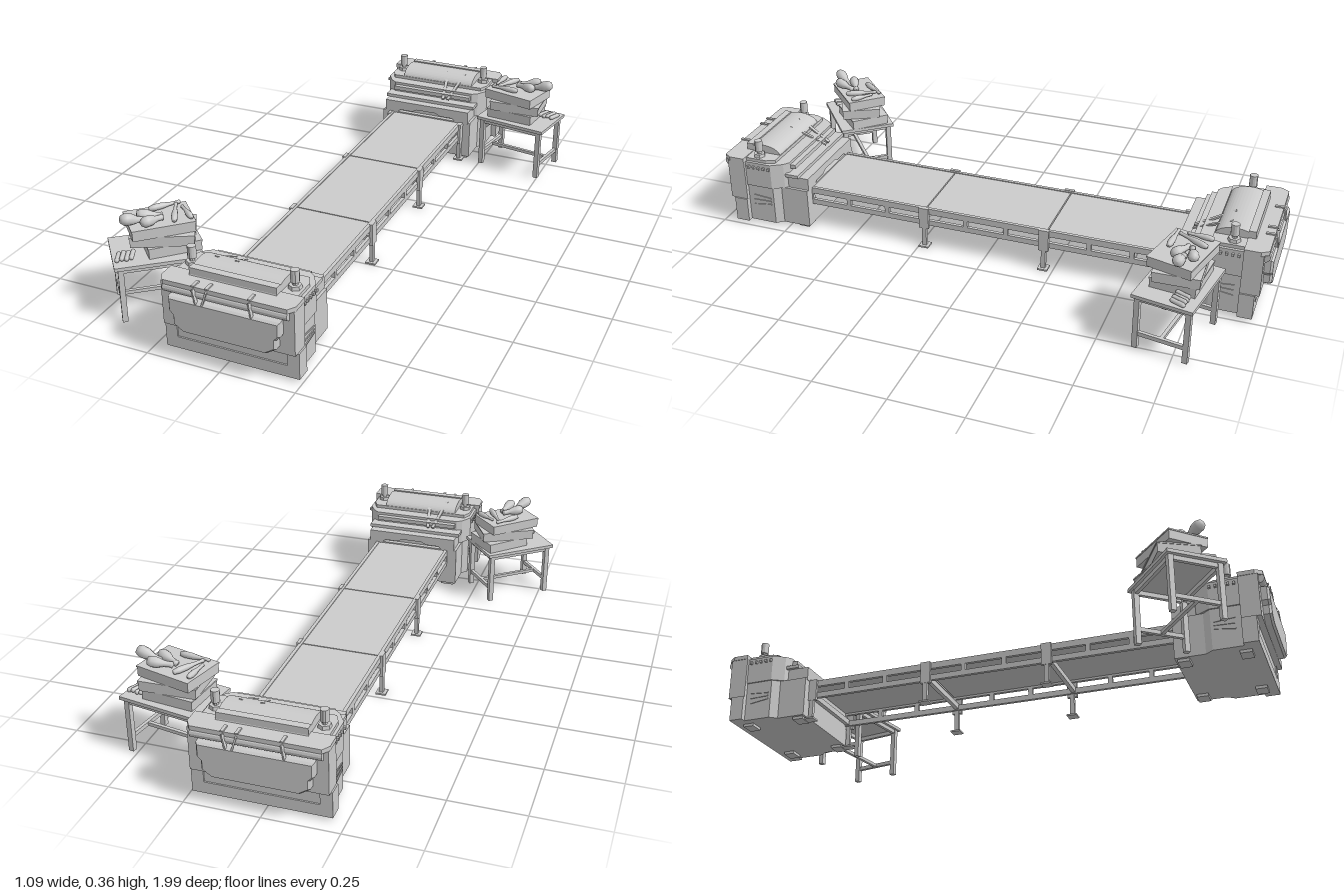
import * as THREE from 'three';

const mat = new THREE.MeshStandardMaterial({ color: 0xcccccc, flatShading: true });
const smooth = new THREE.MeshStandardMaterial({ color: 0xcccccc });
const CX = 0.016; // centre line of the conveyor and machines

function add(parent, name, geo, x = 0, y = 0, z = 0, m = mat) {
  const mesh = new THREE.Mesh(geo, m);
  mesh.name = name;
  mesh.position.set(x, y, z);
  parent.add(mesh);
  return mesh;
}
// box from its limits
function span(parent, name, x0, x1, y0, y1, z0, z1) {
  return add(parent, name, new THREE.BoxGeometry(x1 - x0, y1 - y0, z1 - z0),
    (x0 + x1) / 2, (y0 + y1) / 2, (z0 + z1) / 2);
}
const toShape = pts => new THREE.Shape(pts.map(p => new THREE.Vector2(...p)));
const mirrorX = half => [...half, ...half.map(([a, b]) => [-a, b]).reverse()];

// block with a mirrored plan outline of [x, z] points
function planBlock(parent, name, half, y0, y1) {
  const geo = new THREE.ExtrudeGeometry(toShape(mirrorX(half).map(([x, z]) => [x, -z])),
    { depth: y1 - y0, bevelEnabled: false });
  geo.rotateX(-Math.PI / 2);
  return add(parent, name, geo, 0, y0, 0);
}
// flat bar between two points
function bar(parent, name, a, b, w, t) {
  const p = new THREE.Vector3(...a), q = new THREE.Vector3(...b);
  const mesh = add(parent, name, new THREE.BoxGeometry(w, t, p.distanceTo(q)));
  mesh.position.copy(p).add(q).multiplyScalar(0.5);
  mesh.lookAt(q);
  return mesh;
}

// end machine, outer side towards +z
function machine(name) {
  const g = new THREE.Group();
  g.name = name;
  planBlock(g, 'lowerBody', [[0.185, 0.672], [0.185, 0.775], [0.205, 0.8], [0.205, 0.94]], 0.01, 0.155);
  planBlock(g, 'upperBody', [[0.165, 0.745], [0.185, 0.76], [0.21, 0.8], [0.21, 0.95]], 0.155, 0.25);
  planBlock(g, 'topDeck', [[0.185, 0.79], [0.2, 0.82], [0.2, 0.94]], 0.25, 0.262);
  // stepped hood over the belt entry
  span(g, 'hoodStep', -0.175, 0.175, 0.155, 0.2, 0.69, 0.75);
  span(g, 'hoodLedge', -0.185, 0.185, 0.2, 0.212, 0.705, 0.755);
  span(g, 'hoodBar', -0.16, 0.16, 0.225, 0.24, 0.725, 0.75);
  const skirt = toShape([[-0.175, 0.2], [-0.175, 0.15], [-0.13, 0.15], [-0.11, 0.165], [-0.06, 0.165],
    [-0.04, 0.175], [0.04, 0.175], [0.06, 0.165], [0.11, 0.165], [0.13, 0.15], [0.175, 0.15], [0.175, 0.2]]);
  add(g, 'entrySkirt', new THREE.ExtrudeGeometry(skirt, { depth: 0.02, bevelEnabled: false }), 0, 0, 0.67);
  // outer face: plinth, recess, bulging panel
  span(g, 'plinthFoot', -0.225, 0.225, 0.01, 0.05, 0.92, 0.95);
  span(g, 'plinthPanel', -0.188, 0.188, 0.05, 0.1, 0.92, 0.945);
  span(g, 'faceFrame', -0.21, 0.21, 0.1, 0.225, 0.92, 0.965);
  const face = toShape(mirrorX([[0.135, 0.108], [0.165, 0.128], [0.165, 0.158], [0.178, 0.172], [0.178, 0.212]]));
  add(g, 'facePanel', new THREE.ExtrudeGeometry(face,
    { depth: 0.025, bevelThickness: 0.008, bevelSize: 0.006, bevelSegments: 1 }), 0, 0, 0.96);
  planBlock(g, 'topLip', [[0.222, 0.9], [0.222, 0.955], [0.205, 0.98]], 0.25, 0.265);
  const roll = add(g, 'lipRoll', new THREE.CylinderGeometry(0.017, 0.017, 0.41, 14), 0, 0.239, 0.967);
  roll.rotation.z = Math.PI / 2;
  // half drum on the deck
  const drum = new THREE.CylinderGeometry(0.068, 0.068, 0.29, 20, 1, false, 0, Math.PI);
  drum.rotateZ(Math.PI / 2).scale(1, 0.5, 1);
  add(g, 'drum', drum, 0, 0.258, 0.86, new THREE.MeshStandardMaterial({ color: 0xcccccc, flatShading: true, side: THREE.DoubleSide }));
  span(g, 'drumBack', -0.145, 0.145, 0.26, 0.29, 0.9, 0.925);
  for (const s of [-1, 1]) {
    span(g, 'cornerPost', s * 0.205 - 0.02, s * 0.205 + 0.02, 0.01, 0.1, 0.9, 0.95);
    span(g, 'sidePanel', s * 0.205 - 0.015, s * 0.205 + 0.015, 0.1, 0.25, 0.9, 0.965);
    add(g, 'stackBase', new THREE.CylinderGeometry(0.02, 0.022, 0.012, 6), s * 0.172, 0.268, 0.86);
    add(g, 'stackPost', new THREE.CylinderGeometry(0.009, 0.009, 0.03, 10), s * 0.172, 0.28, 0.86);
    add(g, 'stackCap', new THREE.CylinderGeometry(0.014, 0.014, 0.04, 12), s * 0.172, 0.304, 0.86);
    for (let i = 0; i < 5; i++) // rivets and slanted vents on the sides
      span(g, 'rivet', s * 0.21 - 0.008, s * 0.21 + 0.008, 0.228, 0.238, 0.802 + i * 0.02, 0.81 + i * 0.02);
    for (let i = 0; i < 3; i++)
      bar(g, 'vent', [s * 0.204, 0.075 + i * 0.02, 0.88], [s * 0.204, 0.085 + i * 0.012, 0.81], 0.008, 0.005);
    for (const z of [0.7, 0.9])
      span(g, 'foot', s * 0.15 - 0.025, s * 0.15 + 0.025, 0, 0.012, z - 0.02, z + 0.02);
  }
  // straps hanging over the lip and the inner slope
  for (const [x0, x1] of [[-0.1, -0.088], [-0.055, -0.07], [0.085, 0.095]]) {
    bar(g, 'strap', [x0, 0.258, 0.984], [x1, 0.21, 0.987], 0.01, 0.006);
    bar(g, 'strapTop', [x0, 0.268, 0.984], [x0, 0.268, 0.95], 0.01, 0.005);
  }
  bar(g, 'innerStrap', [-0.1, 0.29, 0.84], [-0.075, 0.225, 0.71], 0.012, 0.006);
  bar(g, 'innerStrap', [-0.03, 0.29, 0.84], [-0.055, 0.225, 0.71], 0.012, 0.006);
  g.position.x = CX;
  return g;
}

function conveyor() {
  const g = new THREE.Group();
  g.name = 'conveyor';
  const end = 0.675, pitch = 0.15;
  for (let i = 0; i < 3; i++) {
    const z0 = -end + i * 0.45;
    span(g, 'beltSection', -0.14, 0.14, 0.138, 0.15, z0 + 0.002, z0 + 0.448);
    span(g, 'crossBeam', -0.14, 0.14, 0.09, 0.11, z0 + 0.005, z0 + 0.02);
  }
  for (const s of [-1, 1]) {
    const x0 = s * 0.142 - 0.006, x1 = s * 0.142 + 0.006;
    span(g, 'upperRail', x0, x1, 0.13, 0.153, -end, end);
    span(g, 'lowerRail', x0, x1, 0.086, 0.106, -end, end);
    for (let i = 0; i <= 9; i++) {
      const z = -end + i * pitch;
      span(g, 'railPost', x0, x1, 0.1, 0.135, z - 0.008, z + 0.008);
    }
    for (const z of [-0.66, -0.215, 0.23]) {
      span(g, 'legBracket', s * 0.15 - 0.006, s * 0.15 + 0.006, 0.075, 0.155, z - 0.018, z + 0.018);
      span(g, 'leg', s * 0.148 - 0.007, s * 0.148 + 0.007, 0.005, 0.09, z - 0.008, z + 0.008);
      span(g, 'footPlate', s * 0.148 - 0.018, s * 0.148 + 0.018, 0, 0.006, z - 0.018, z + 0.018);
    }
  }
  g.position.x = CX;
  return g;
}

// lumpy tapered piece, lying along its local x
function piece(parent, name, len, r, x, y, z, yaw, tilt = 0) {
  const profile = [[0, 0], [0.7, 0.03], [1, 0.18], [0.95, 0.4], [0.55, 0.65], [0.5, 0.88], [0.62, 0.94], [0, 1]];
  const geo = new THREE.LatheGeometry(profile.map(([a, b]) => new THREE.Vector2(a * r, (b - 0.5) * len)), 10);
  geo.rotateZ(-Math.PI / 2);
  const m = add(parent, name, geo, x, y, z, smooth);
  m.rotation.set(0, yaw, tilt);
}

// table with its crates: [dx, dz, turn, width, depth] from bottom to top
function table(name, x, z, turn, crates) {
  const g = new THREE.Group();
  g.name = name;
  span(g, 'tableTop', -0.14, 0.14, 0.19, 0.202, -0.102, 0.102);
  for (const sx of [-1, 1]) {
    for (const sz of [-1, 1])
      span(g, 'tableLeg', sx * 0.12 - 0.009, sx * 0.12 + 0.009, 0, 0.19, sz * 0.085 - 0.009, sz * 0.085 + 0.009);
    span(g, 'endStretcher', sx * 0.12 - 0.006, sx * 0.12 + 0.006, 0.046, 0.06, -0.085, 0.085);
    span(g, 'endApron', sx * 0.12 - 0.006, sx * 0.12 + 0.006, 0.175, 0.19, -0.085, 0.085);
    span(g, 'sideApron', -0.12, 0.12, 0.175, 0.19, sx * 0.085 - 0.006, sx * 0.085 + 0.006);
  }
  span(g, 'longStretcher', -0.12, 0.12, 0.047, 0.059, -0.006, 0.006);
  crates.forEach(([cx, cz, a, w, d], i) => {
    const c = new THREE.Group();
    c.name = 'crate';
    c.position.set(cx, 0.202 + i * 0.036, cz);
    c.rotation.y = a;
    span(c, 'crateBody', -w / 2, w / 2, 0, 0.031, -d / 2, d / 2);
    span(c, 'crateLid', -w / 2 - 0.002, w / 2 + 0.002, 0.031, 0.036, -d / 2 - 0.002, d / 2 + 0.002);
    if (i === 2) { // heap on the top crate
      piece(c, 'bigPiece', 0.09, 0.02, -0.085, 0.056, 0.03, 0.2, -0.3);
      piece(c, 'bigPiece', 0.085, 0.018, -0.03, 0.052, 0.045, 0.5, -0.15);
      piece(c, 'bigPiece', 0.085, 0.018, -0.03, 0.05, 0.005, -0.2, -0.1);
      piece(c, 'longPiece', 0.12, 0.011, 0.05, 0.046, 0.005, 1.3);
      piece(c, 'longPiece', 0.11, 0.011, 0.03, 0.046, -0.05, 0.15);
      piece(c, 'longPiece', 0.09, 0.01, 0.085, 0.045, 0.015, 1.7);
    }
    g.add(c);
  });
  // small rods laid out at the free end of the table
  for (let i = 0; i < 4; i++) {
    const rod = add(g, 'rod', new THREE.CapsuleGeometry(0.008, 0.04, 3, 8), -0.122 + i * 0.015, 0.21 + (i % 2) * 0.003, 0.045, smooth);
    rod.rotation.set(Math.PI / 2, 0, 0.25);
  }
  g.position.set(x, 0, z);
  g.rotation.y = turn;
  return g;
}

export function createModel() {
  const model = new THREE.Group();
  model.name = 'conveyorLine';
  model.add(machine('frontMachine'));
  const rear = machine('rearMachine');
  rear.rotation.y = Math.PI;
  model.add(rear, conveyor());
  model.add(table('frontTable', -0.37, 0.735, 0.69,
    [[0.05, -0.005, 0.1, 0.17, 0.14], [0.03, 0, -0.2, 0.2, 0.14], [0.02, 0, 0.08, 0.2, 0.14]]));
  model.add(table('rearTable', 0.39, -0.73, Math.PI - 0.172,
    [[0.02, 0, 0.05, 0.18, 0.15], [0.012, 0, 0.2, 0.19, 0.15], [0.02, 0, -0.08, 0.2, 0.15]]));
  return model;
}
